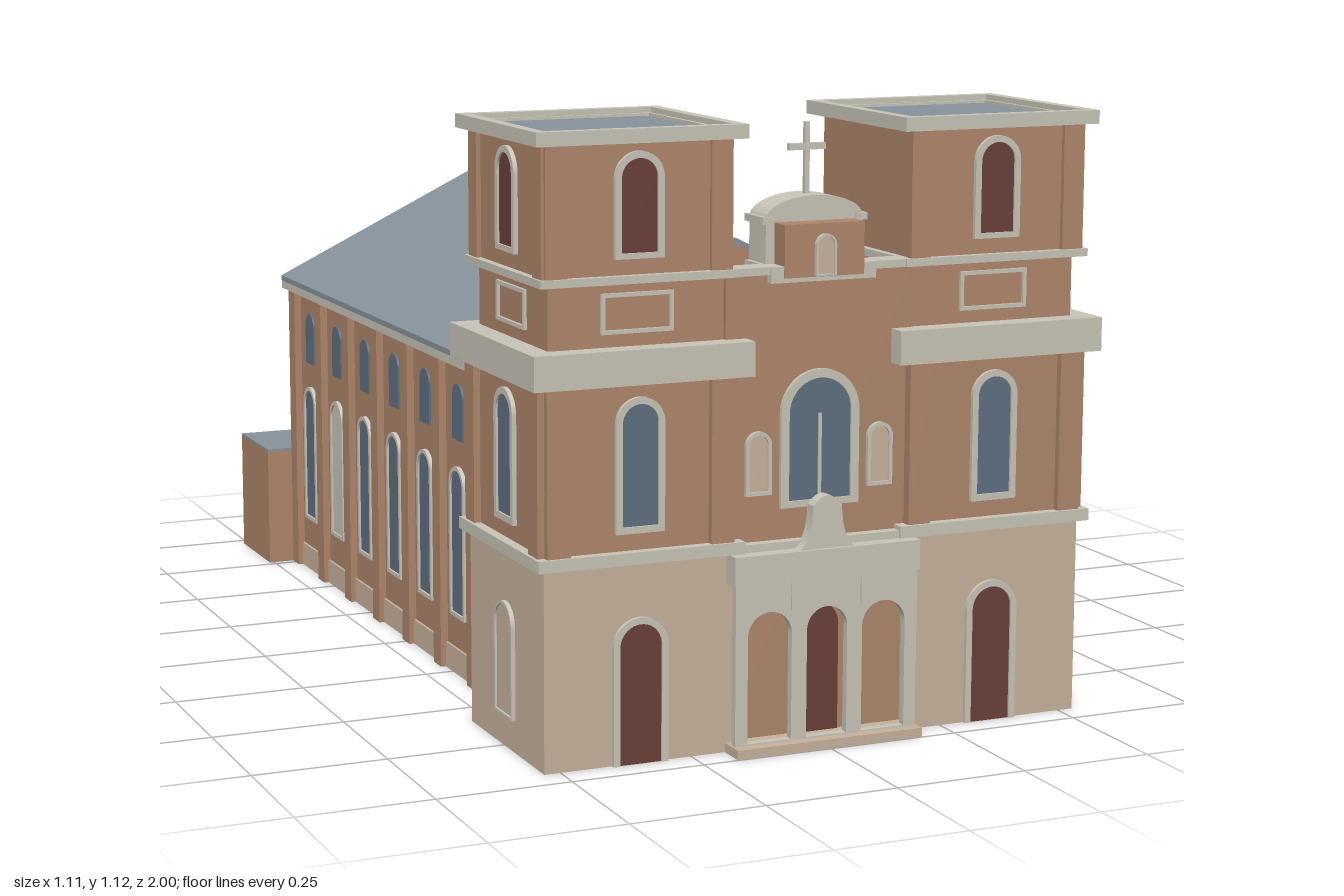
import * as THREE from 'three';

const mat = (name, color, side = THREE.FrontSide) => {
  const m = new THREE.MeshStandardMaterial({ color, side });
  m.name = name;
  return m;
};

export function createModel() {
  const root = new THREE.Group();
  root.name = 'church';
  const brick = mat('brick', 0xae856a, THREE.DoubleSide);
  const sand = mat('sandstone', 0xc7b19d);
  const trim = mat('paleTrim', 0xc7c3b7);
  const glass = mat('blueGlass', 0x5f6f81);
  const red = mat('darkRed', 0x6b3f39);
  const slate = mat('slate', 0x87929b);

  const add = (parent, name, geo, material, x = 0, y = 0, z = 0) => {
    const m = new THREE.Mesh(geo, material);
    m.name = name;
    m.position.set(x, y, z);
    parent.add(m);
    return m;
  };
  // Box given by its limits
  const box = (p, name, m, x0, x1, y0, y1, z0, z1) =>
    add(p, name, new THREE.BoxGeometry(x1 - x0, y1 - y0, z1 - z0), m, (x0 + x1) / 2, (y0 + y1) / 2, (z0 + z1) / 2);
  const extrude = (shape, depth) =>
    new THREE.ExtrudeGeometry(shape, { depth, bevelEnabled: false, curveSegments: 12 });
  const rect = (Type, hx, y0, y1) => new Type([[-hx, y0], [hx, y0], [hx, y1], [-hx, y1]].map(p => new THREE.Vector2(...p)));
  const arch = (Type, hw, y0, y1, cx = 0) => {
    const s = new Type();
    s.moveTo(cx - hw, y0);
    s.lineTo(cx + hw, y0);
    s.lineTo(cx + hw, y1 - hw);
    s.absarc(cx, y1 - hw, hw, 0, Math.PI, false);
    s.lineTo(cx - hw, y0);
    return s;
  };
  // Horizontal square ring between two heights
  const ring = (p, name, m, half, inner, y0, y1) => {
    const s = rect(THREE.Shape, half, -half, half);
    s.holes.push(rect(THREE.Path, inner, -inner, inner));
    const g = extrude(s, y1 - y0).rotateX(-Math.PI / 2);
    return add(p, name, g, m, 0, y0, 0);
  };
  // Arched opening with a raised surround, on a wall facing +z
  const opening = (p, name, fill, hw, y0, y1, t, sill, x, z) => {
    if (t) {
      const s = arch(THREE.Shape, hw, y0, y1);
      s.holes.push(arch(THREE.Path, hw - t, y0 + sill, y1 - t));
      add(p, name + 'Surround', extrude(s, 0.008), trim, x, 0, z);
    }
    add(p, name, extrude(arch(THREE.Shape, hw - t, y0 + sill, y1 - t), 0.004), fill, x, 0, z);
  };

  // ---- Bell towers ----
  const makeTower = side => {
    const t = new THREE.Group();
    t.name = side > 0 ? 'leftTower' : 'rightTower';
    t.position.set(side * 0.35, 0, 0.765);
    root.add(t);
    const inner = 0.16;
    ring(t, 'baseStorey', sand, 0.18, inner, 0, 0.362);
    ring(t, 'baseBand', trim, 0.196, inner, 0.362, 0.384);
    ring(t, 'middleStorey', brick, 0.177, inner, 0.384, 0.68);
    ring(t, 'mainCornice', trim, 0.207, inner, 0.68, 0.742);
    ring(t, 'atticStorey', brick, 0.165, inner, 0.742, 0.853);
    ring(t, 'atticBand', trim, 0.186, inner, 0.853, 0.867);
    ring(t, 'belfry', brick, 0.172, inner, 0.867, 1.095);
    ring(t, 'topCornice', trim, 0.197, 0.175, 1.095, 1.12);
    ring(t, 'topLedge', trim, 0.176, 0.168, 1.095, 1.11);
    add(t, 'towerRoof', new THREE.BoxGeometry(0.312, 0.012, 0.312), slate, 0, 1.1, 0);
    // Decorated faces: front and outer side
    [0, side * Math.PI / 2].forEach((angle, i) => {
      const f = new THREE.Group();
      f.name = i ? 'outerFace' : 'frontFace';
      f.rotation.y = angle;
      t.add(f);
      for (const s of [-1, 1]) {
        const x = s * 0.155;
        box(f, 'middlePilaster', brick, x - 0.022, x + 0.022, 0.384, 0.68, 0.17, 0.19);
        box(f, 'belfryPilaster', brick, x - 0.02, x + 0.02, 0.867, 1.095, 0.165, 0.181);
      }
      if (i) opening(f, 'blindNiche', sand, 0.043, 0.06, 0.27, 0.005, 0.005, 0, 0.18);
      else opening(f, 'towerDoor', red, 0.052, 0, 0.265, 0.012, 0, 0, 0.18);
      opening(f, 'towerWindow', glass, 0.046, 0.415, 0.655, 0.012, 0.012, 0, 0.177);
      opening(f, 'belfryWindow', red, 0.046, 0.895, 1.08, 0.012, 0.01, 0, 0.172);
      const panel = rect(THREE.Shape, 0.068, 0.765, 0.836);
      panel.holes.push(rect(THREE.Path, 0.061, 0.772, 0.829));
      add(f, 'atticPanelFrame', extrude(panel, 0.006), trim, 0, 0, 0.165);
    });
  };
  [-1, 1].forEach(makeTower);

  // ---- Central facade ----
  const facade = new THREE.Group();
  facade.name = 'centralFacade';
  root.add(facade);
  const FZ = 0.935;
  box(facade, 'facadeWall', brick, -0.183, 0.183, 0, 0.853, 0.905, FZ);
  box(facade, 'facadeCoping', trim, -0.18, 0.18, 0.853, 0.867, 0.9, 0.947);
  box(facade, 'facadeBand', trim, -0.18, 0.18, 0.362, 0.376, FZ, 0.955);
  opening(facade, 'greatWindow', glass, 0.077, 0.433, 0.68, 0.016, 0.012, 0, FZ);
  box(facade, 'mullion', trim, -0.003, 0.003, 0.44, 0.6, FZ, FZ + 0.007);
  for (const s of [-1, 1]) opening(facade, 'niche', sand, 0.025, 0.46, 0.575, 0.007, 0.007, s * 0.12, FZ);
  opening(facade, 'mainDoor', red, 0.042, 0, 0.255, 0, 0, 0, FZ);

  // Portico with three arches and a raised centrepiece
  box(facade, 'porticoStep', sand, -0.184, 0.184, 0, 0.017, 0.935, 0.998);
  const portico = rect(THREE.Shape, 0.18, 0.017, 0.31);
  portico.holes.push(arch(THREE.Path, 0.04, 0.02, 0.257));
  for (const s of [-1, 1]) portico.holes.push(arch(THREE.Path, 0.043, 0.02, 0.257, s * 0.113));
  add(facade, 'porticoArcade', extrude(portico, 0.015), trim, 0, 0, 0.963);
  for (const x of [-0.069, 0.069]) box(facade, 'porticoRib', trim, x - 0.003, x + 0.003, 0.257, 0.31, 0.97, 0.981);
  box(facade, 'porticoEntablature', trim, -0.183, 0.183, 0.308, 0.362, FZ, 0.982);
  const crest = new THREE.Shape();
  crest.moveTo(-0.056, 0.36);
  crest.lineTo(0.056, 0.36);
  crest.quadraticCurveTo(0.03, 0.375, 0.028, 0.44);
  crest.quadraticCurveTo(0, 0.475, -0.028, 0.44);
  crest.quadraticCurveTo(-0.03, 0.375, -0.056, 0.36);
  add(facade, 'porticoCrest', extrude(crest, 0.025), trim, 0, 0, 0.95);

  // Rounded gable shrine and cross
  const gable = new THREE.Shape();
  gable.moveTo(-0.095, 0.84);
  gable.lineTo(0.095, 0.84);
  gable.lineTo(0.095, 0.945);
  gable.absellipse(0, 0.945, 0.095, 0.04, 0, Math.PI, false);
  gable.lineTo(-0.095, 0.84);
  add(facade, 'gableShrine', extrude(gable, 0.067), trim, 0, 0, 0.843);
  for (const s of [-1, 1]) box(facade, 'gableShoulder', trim, s * 0.092 - 0.011, s * 0.092 + 0.011, 0.937, 0.95, 0.84, 0.914);
  box(facade, 'gableFoot', trim, -0.103, 0.103, 0.838, 0.867, 0.84, 0.95);
  box(facade, 'gablePanel', brick, -0.078, 0.078, 0.846, 0.94, 0.905, 0.952);
  opening(facade, 'gableNiche', sand, 0.02, 0.848, 0.922, 0.004, 0.003, 0, 0.952);
  box(facade, 'crossPost', trim, -0.0045, 0.0045, 0.98, 1.112, 0.871, 0.88);
  box(facade, 'crossArm', trim, -0.036, 0.036, 1.062, 1.074, 0.871, 0.88);

  // ---- Nave ----
  const nave = new THREE.Group();
  nave.name = 'nave';
  root.add(nave);
  const Z0 = -0.785, Z1 = 0.585;
  const endShape = new THREE.Shape([[-0.44, 0], [0.44, 0], [0.44, 0.645], [0, 0.858], [-0.44, 0.645]].map(p => new THREE.Vector2(...p)));
  add(nave, 'rearGable', extrude(endShape, 0.01), brick, 0, 0, Z0 + 0.005);
  add(nave, 'frontGable', extrude(endShape, 0.01), brick, 0, 0, Z1 - 0.01);
  const roof = new THREE.Shape([[-0.465, 0.645], [0, 0.87], [0.465, 0.645], [0.465, 0.634], [0, 0.858], [-0.465, 0.634]].map(p => new THREE.Vector2(...p)));
  add(nave, 'naveRoof', extrude(roof, Z1 - Z0), slate, 0, 0, Z0);

  for (const s of [-1, 1]) {
    // Each side is built facing +z, then turned outward
    const w = new THREE.Group();
    w.name = s > 0 ? 'leftNaveSide' : 'rightNaveSide';
    w.rotation.y = s * Math.PI / 2;
    nave.add(w);
    const along = z => -s * z;
    const span = (name, m, za, zb, y0, y1, d0, d1) =>
      box(w, name, m, Math.min(along(za), along(zb)), Math.max(along(za), along(zb)), y0, y1, d0, d1);
    span('naveWall', brick, Z0, Z1, 0, 0.645, 0.43, 0.44);
    span('plinth', sand, Z0, Z1, 0, 0.05, 0.428, 0.445);
    span('eavesCornice', trim, Z0, Z1, 0.617, 0.643, 0.43, 0.464);
    for (let i = 0; i < 8; i++) {
      const z = 0.563 - i * 0.187;
      span('navePilaster', brick, z - 0.021, z + 0.021, 0, 0.62, 0.435, 0.455);
      if (i === 7) continue;
      const x = along(z - 0.0935);
      opening(w, 'naveWindow', i === 5 ? trim : glass, 0.041, 0.115, 0.413, 0.008, 0.008, x, 0.44);
      opening(w, 'upperWindow', glass, 0.028, 0.465, 0.575, 0, 0, x, 0.44);
    }
  }

  // ---- Rear chancel and side rooms ----
  const rear = new THREE.Group();
  rear.name = 'chancel';
  root.add(rear);
  box(rear, 'chancelBlock', brick, -0.218, 0.218, 0, 0.636, -0.985, -0.77);
  box(rear, 'chancelCornice', trim, -0.23, 0.23, 0.634, 0.653, -0.998, -0.78);
  box(rear, 'chancelRoof', slate, -0.218, 0.218, 0.64, 0.656, -0.99, -0.78);
  for (const s of [-1, 1]) {
    const [a, b] = s > 0 ? [0.2, 0.51] : [-0.51, -0.2];
    box(rear, 'sideRoom', brick, a, b, 0, 0.253, -0.97, -0.765);
    box(rear, 'sideRoomRoof', slate, a, b, 0.253, 0.258, -0.97, -0.765);
  }
  return root;
}
